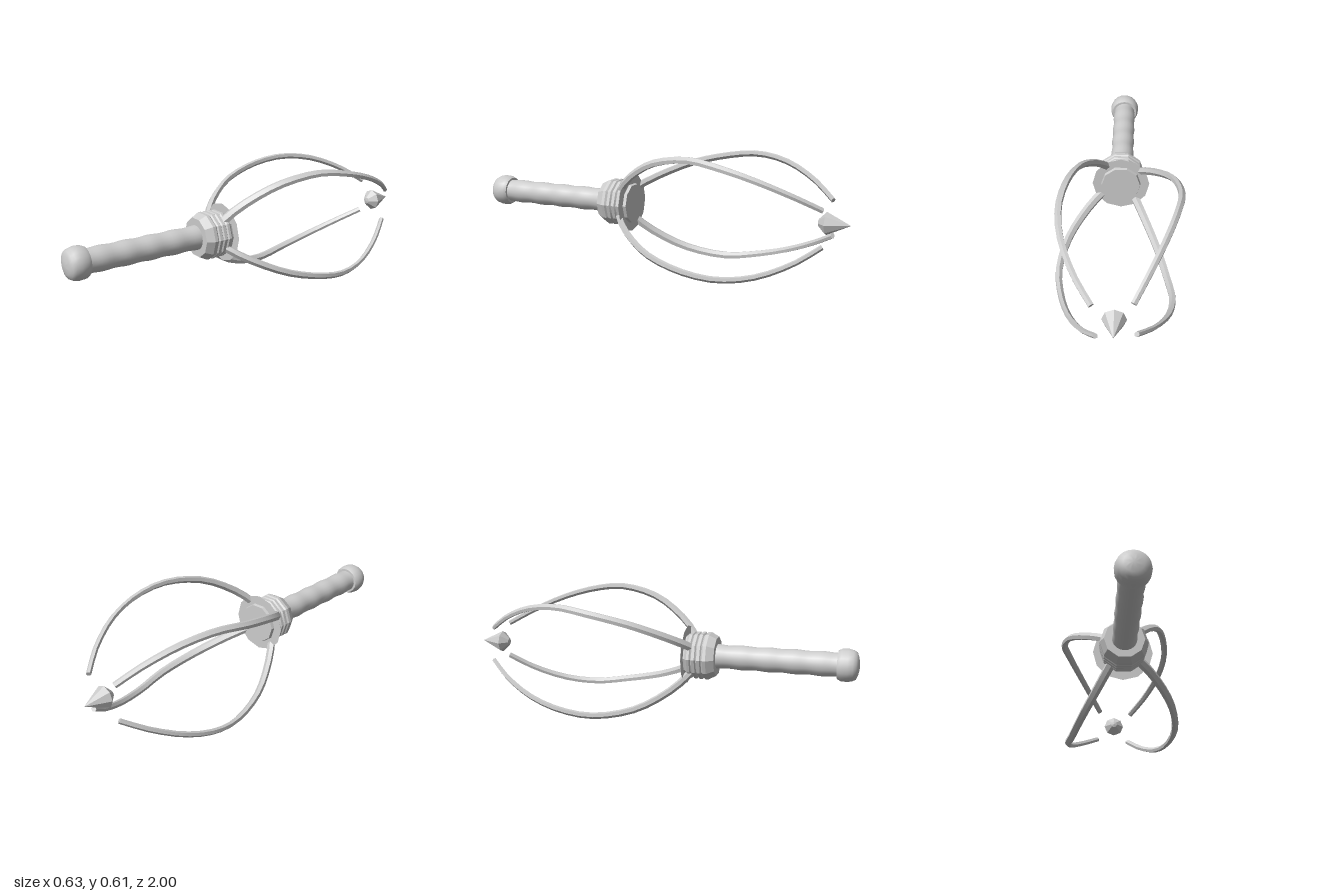
import * as THREE from 'three';
import { toCreasedNormals } from 'three/addons/utils/BufferGeometryUtils.js';

const AXIS_Y = 0.305;

// Lathe around the z axis; profile is [z, radius] in ascending z
function turned(profile, sides, crease) {
  const points = profile.map(([z, r]) => new THREE.Vector2(r, z));
  const geometry = new THREE.LatheGeometry(points, sides, Math.PI / 2, Math.PI * 2);
  geometry.rotateX(Math.PI / 2);
  return toCreasedNormals(geometry, crease);
}

// Curved, tapering six-sided prong
function prongGeometry() {
  const curve = new THREE.CatmullRomCurve3([
    [0.06, 0.08, 0.175], [0.082, 0.115, 0.145], [0.13, 0.183, 0.06], [0.19, 0.255, -0.08],
    [0.239, 0.29, -0.28], [0.26, 0.267, -0.45], [0.237, 0.217, -0.62], [0.17, 0.145, -0.78],
    [0.095, 0.081, -0.89],
  ].map((p) => new THREE.Vector3(...p)));
  const steps = 18, sides = 6;
  const positions = [], index = [];
  for (let i = 0; i <= steps; i++) {
    const t = i / steps;
    const centre = curve.getPointAt(t);
    const tangent = curve.getTangentAt(t);
    const across = new THREE.Vector3(-1, 1, 0).normalize();
    across.addScaledVector(tangent, -across.dot(tangent)).normalize();
    const out = new THREE.Vector3().crossVectors(tangent, across);
    const wide = THREE.MathUtils.lerp(0.024, 0.015, t);
    const thick = THREE.MathUtils.lerp(0.018, 0.012, t);
    for (let j = 0; j < sides; j++) {
      const a = (j / sides) * Math.PI * 2;
      const p = centre.clone().addScaledVector(across, Math.cos(a) * wide).addScaledVector(out, Math.sin(a) * thick);
      positions.push(p.x, p.y, p.z);
      if (i < steps) {
        const k = (j + 1) % sides;
        const a0 = i * sides + j, b0 = i * sides + k;
        index.push(a0, b0, b0 + sides, a0, b0 + sides, a0 + sides);
      }
    }
  }
  // End caps
  const last = steps * sides;
  for (let j = 1; j < sides - 1; j++) {
    index.push(0, j + 1, j, last, last + j, last + j + 1);
  }
  const geometry = new THREE.BufferGeometry();
  geometry.setAttribute('position', new THREE.Float32BufferAttribute(positions, 3));
  geometry.setIndex(index);
  return toCreasedNormals(geometry, 0.4);
}

export function createModel() {
  const model = new THREE.Group();
  model.name = 'prongedSceptre';
  const metal = new THREE.MeshStandardMaterial({ color: 0xcccccc, side: THREE.DoubleSide });
  metal.name = 'lightGrey';

  const body = new THREE.Group();
  body.name = 'sceptre';
  body.position.y = AXIS_Y;
  model.add(body);
  const add = (name, geometry, parent = body) => {
    const mesh = new THREE.Mesh(geometry, metal);
    mesh.name = name;
    parent.add(mesh);
    return mesh;
  };

  // Gently rippled grip
  const grip = [];
  for (let i = 0; i <= 32; i++) {
    const z = 0.28 + (0.64 * i) / 32;
    grip.push([z, 0.06 + 0.002 * Math.cos(((z - 0.3) / 0.13) * Math.PI * 2)]);
  }
  add('grip', turned(grip, 20, 1));

  // Domed pommel
  add('pommel', turned([
    [0.895, 0.055], [0.895, 0.07], [0.912, 0.079], [0.945, 0.081], [0.97, 0.075],
    [0.985, 0.066], [0.993, 0.045], [0.998, 0.022], [1, 0],
  ], 20, 0.7));

  // Ten-sided collar with shallow grooves
  add('collar', turned([
    [0.13, 0], [0.13, 0.1], [0.152, 0.106], [0.165, 0.118], [0.178, 0.118],
    [0.184, 0.111], [0.19, 0.119], [0.205, 0.119], [0.211, 0.112], [0.217, 0.12],
    [0.232, 0.12], [0.238, 0.113], [0.246, 0.12], [0.262, 0.12], [0.3, 0.1], [0.3, 0],
  ], 10, 0.4));

  // Paper-thin twelve-sided flange
  add('flange', new THREE.RingGeometry(0.09, 0.149, 12)).position.z = 0.145;

  // Four prongs, each a quarter turn from the last, forming a slightly oval cage
  const cage = new THREE.Group();
  cage.name = 'cage';
  cage.scale.x = 1.03;
  body.add(cage);
  const prong = prongGeometry();
  for (let i = 0; i < 4; i++) {
    add('prong' + (i + 1), prong, cage).rotation.z = (i * Math.PI) / 2;
  }

  // Floating faceted point
  add('point', turned([[-1, 0], [-0.885, 0.056], [-0.847, 0.018], [-0.843, 0]], 8, 0.2));

  return model;
}
